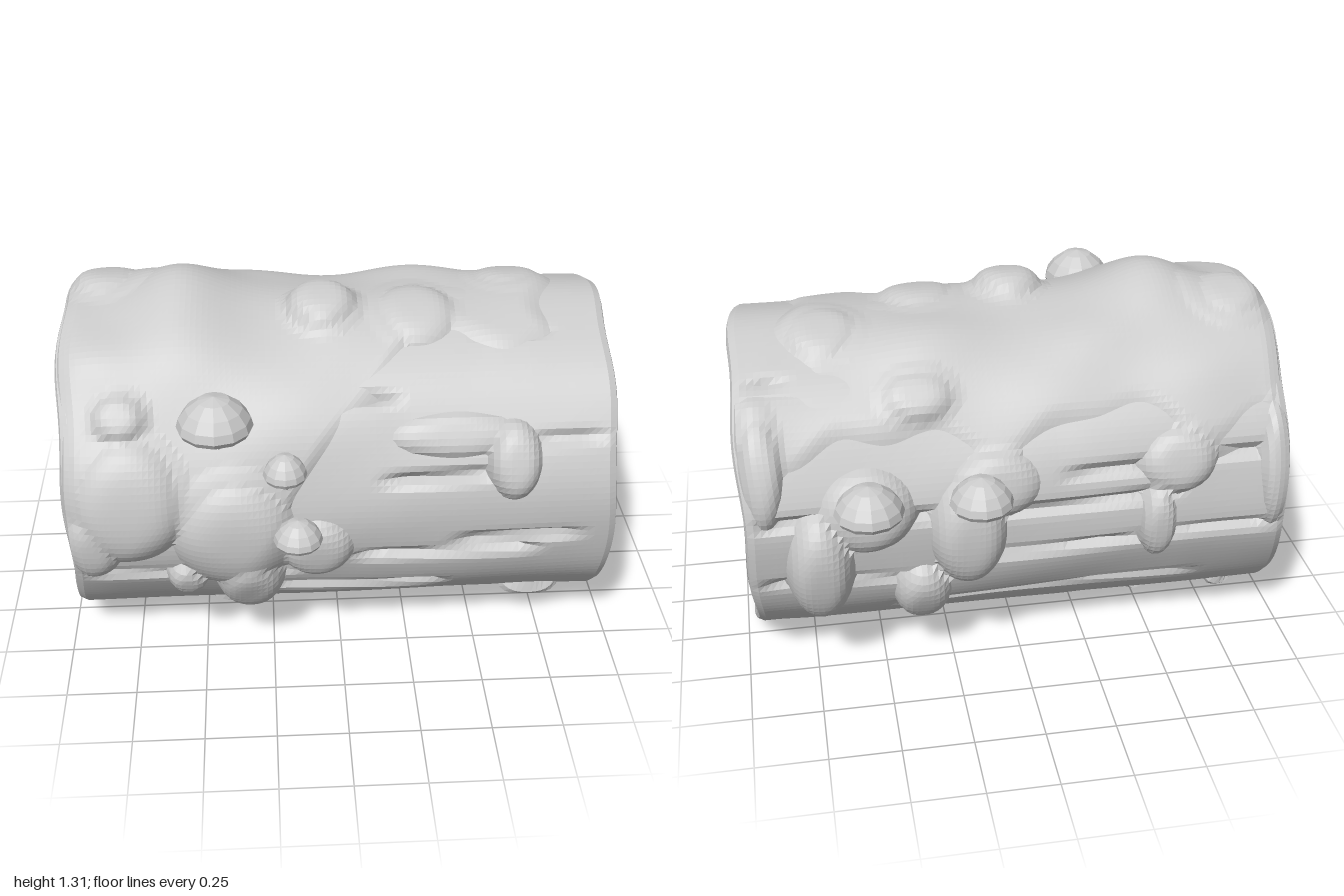
import * as THREE from 'three';

const CY = 0.61, R = 0.596; // log axis height and bark radius
const { sin, cos, abs, max, min, exp, PI } = Math;
const smooth = THREE.MathUtils.smoothstep;
const wrap = a => a - 2 * PI * Math.round(a / (2 * PI));
const grey = new THREE.MeshStandardMaterial({ color: 0xcccccc, flatShading: true });

function add(parent, name, geometry) {
  const mesh = new THREE.Mesh(geometry, grey);
  mesh.name = name;
  parent.add(mesh);
  return mesh;
}

// Surface of closed loops round the x axis; angle 0 is up, positive is toward +z.
// at(t, angle) returns [x, radius, axis y shift, axis z shift].
function loft(rows, cols, at) {
  const pos = [], idx = [];
  for (let i = 0; i <= rows; i++) for (let j = 0; j < cols; j++) {
    const a = j / cols * 2 * PI;
    const [x, r, dy = 0, dz = 0] = at(i / rows, wrap(a));
    pos.push(x, CY + dy + r * cos(a), dz + r * sin(a));
  }
  for (let i = 0; i < rows; i++) for (let j = 0; j < cols; j++) {
    const a = i * cols + j, b = i * cols + (j + 1) % cols;
    idx.push(a, b, a + cols, b, b + cols, a + cols);
  }
  const g = new THREE.BufferGeometry();
  g.setAttribute('position', new THREE.Float32BufferAttribute(pos, 3));
  g.setIndex(idx);
  g.computeVertexNormals();
  return g;
}

// Slightly uneven cut at each end
const endX = (side, a) => 0.974 + 0.009 * sin(2 * a + 2 + side) + 0.006 * sin(7 * a + 2 * side);

// Long splits in the bark: [start x, end x, angle, depth]
const splits = [
  [0.0, 0.75, 1.83, 0.035], [-0.95, -0.1, 1.96, 0.03], [-0.3, 0.42, 2.16, 0.04],
  [0.35, 0.9, 1.73, 0.03], [-0.97, 0.97, 2.66, 0.035], [-0.12, 0.24, 0.8, 0.04],
  [0.1, 0.6, 1.28, 0.04], [0.45, 0.8, 0.4, 0.03], [-0.7, 0.5, -2.2, 0.03],
  [-0.97, 0.2, -1.75, 0.04], [-0.6, 0.97, -1.45, 0.04], [-0.97, -0.1, -1.25, 0.035],
  [-0.3, 0.9, -2.6, 0.03], [-0.8, -0.2, -2.85, 0.025], [0.3, 0.97, -1.9, 0.03],
  [0.6, 0.97, 1.1, 0.03], [0.75, 0.97, -0.6, 0.03]
];
function barkR(x, a) {
  let r = R + 0.004 * sin(9 * a + 2 * sin(2.3 * x)) + 0.003 * sin(5 * x + 3 * a);
  for (const [x0, x1, s, depth] of splits) {
    const d = wrap(a - s - 0.025 * sin(4 * x + s));
    const along = smooth(x, x0, x0 + 0.14) * (1 - smooth(x, x1 - 0.14, x1));
    r -= along * depth * exp(-((d / 0.035) ** 2));            // the crack
    if (d > 0) r += along * 0.006 * exp(-d / 0.2);            // raised lip beside it
  }
  return r;
}

// Soft swellings in the moss: [x, angle, half length, half angle, height]
const swells = [
  [-0.57, 0, 0.19, 0.38, 0.1], [-0.87, -0.22, 0.13, 0.3, 0.01], [-0.04, 0.15, 0.09, 0.22, 0.02],
  [-0.85, 0.55, 0.14, 0.2, 0.03], [-0.45, 0.5, 0.2, 0.25, 0.025], [-0.3, -0.45, 0.2, 0.2, 0.025],
  [0.3, -0.4, 0.25, 0.2, 0.025], [-0.6, -0.7, 0.22, 0.2, 0.02], [-0.55, 1.3, 0.3, 0.3, 0.02]
];
// Rounded pads and drips that stand out with an edge: same columns
const pads = [
  [-0.82, -0.2, 0.18, 0.3, 0.055], [-0.05, 0.17, 0.16, 0.27, 0.065], [0.28, 0.2, 0.18, 0.35, 0.03],
  [0.65, -0.23, 0.17, 0.3, 0.03], [-0.76, 0.9, 0.12, 0.18, 0.045], [-0.74, 1.4, 0.23, 0.47, 0.06],
  [-0.88, 1.68, 0.13, 0.3, 0.045], [-0.38, 1.65, 0.25, 0.48, 0.06], [-0.33, 2.03, 0.14, 0.34, 0.075],
  [-0.55, 1.98, 0.09, 0.17, 0.05], [-0.09, 1.76, 0.15, 0.26, 0.05], [0.6, 1.2, 0.11, 0.28, 0.065],
  [0.4, 1.04, 0.28, 0.17, 0.025], [0.72, 2.48, 0.14, 0.1, 0.035], [-0.35, 2.74, 0.19, 0.1, 0.045],
  [0.72, -1.78, 0.13, 0.45, 0.09], [0.55, -1.4, 0.19, 0.3, 0.06], [0.2, -1.6, 0.15, 0.42, 0.08],
  [0.36, -2.07, 0.12, 0.3, 0.07], [0.1, -1.3, 0.19, 0.24, 0.045], [-0.48, -1.65, 0.08, 0.3, 0.05],
  [-0.55, -1.25, 0.16, 0.24, 0.04], [-0.92, -1.35, 0.08, 0.5, 0.03], [0.9, -1.1, 0.09, 0.42, 0.035],
  [-0.5, -2.7, 0.06, 0.07, 0.025], [-0.8, -2.5, 0.07, 0.09, 0.03], [0.35, -0.75, 0.16, 0.2, 0.035]
];
function mossR(x, a) {
  // Ragged moss border: deep on the -x half of the front, high on the +x half
  const edge = a > 0
    ? 0.5 + 1.3 * (1 - smooth(x, -0.35, 0.3)) + 0.1 * sin(13 * x)
    : 1.1 + 0.1 * sin(8 * x + 1) + 0.05 * sin(17 * x);
  const bareEnd = smooth(a, -0.75, -0.5) * smooth(x + 0.04 * sin(9 * a), 0.7, 0.9);
  const cover = (1 - smooth(abs(a), edge - 0.2, edge + 0.2)) * (1 - bareEnd);
  let h = -0.045 + cover * (0.057 + 0.006 * sin(11 * x + 4 * a) + 0.005 * sin(7 * a - 6 * x));
  for (const [sx, sa, lx, la, top] of swells)
    h += cover * top * exp(-(((x - sx) / lx) ** 2) - (wrap(a - sa) / la) ** 2);
  let lift = 0;
  for (const [px, pa, lx, la, top] of pads) {
    const d2 = ((x - px) / lx) ** 2 + (wrap(a - pa) / la) ** 2;
    if (d2 > 1) continue;
    const dome = 1 - d2 * d2;
    h = max(h, -0.045 + (top + 0.045) * dome);
    lift = max(lift, 0.3 * cover * top * dome);
  }
  return R + h + lift;
}

// Growth rings on a cut face: [radius fraction, depth below the rim]
const rings = [
  [0, 0.005], [0.2, 0.005], [0.33, 0.005], [0.345, 0.035], [0.36, 0.035], [0.37, 0.005],
  [0.45, 0.008], [0.47, 0.055], [0.6, 0.06], [0.62, 0.015], [0.7, 0.012], [0.72, 0.05], [0.75, 0.048],
  [0.77, 0.01], [0.86, 0.005], [0.88, 0.037], [0.905, 0.035], [0.92, 0], [0.97, -0.006], [1, 0.008]
];
function endFace(side) {
  const n = rings.length - 1;
  return loft(n, 64, (t, a) => {
    const k = Math.round((side > 0 ? 1 - t : t) * n);
    const [f, depth] = rings[k];
    const inner = 1 - f;
    const wobble = 1 + inner * (0.09 * cos(2 * a) + 0.05 * sin(3 * a + k * 0.3));
    // Grooves pinch shut here and there
    const shut = depth > 0.033 && f > 0.3 ? 0.6 + 0.4 * sin(a * 2 + f * 9 + side) : 1;
    const rim = barkR(side * 0.96, a) - 0.012;
    const rimX = endX(side, a) - 0.008;
    return [side * (rimX * f + 0.965 * inner - (f < 1 ? depth * shut : 0)), f * rim * wobble,
      0.02 * inner, -0.04 * inner];
  });
}

// Mushroom: centre of the cap's widest ring, cap radius and height, foot of the stem
function mushroom(x, y, z, r, h, footY, footZ) {
  const group = new THREE.Group();
  group.name = 'mushroom';
  const profile = [[0, -0.1], [0.3, -0.34], [0.6, -0.3], [0.9, -0.16], [1, 0.02], [0.94, 0.28],
    [0.74, 0.6], [0.42, 0.88], [0, 1]].map(([px, py]) => new THREE.Vector2(px * r, py * h));
  add(group, 'mushroomCap', new THREE.LatheGeometry(profile, 12)).position.set(x, y, z);
  const path = new THREE.QuadraticBezierCurve3(
    new THREE.Vector3(x + 0.01, footY, footZ),
    new THREE.Vector3(x, footY + 0.02, z - 0.1 * (z - footZ)),
    new THREE.Vector3(x, y, z));
  add(group, 'mushroomStem', new THREE.TubeGeometry(path, 8, r * 0.3, 9));
  return group;
}

export function createModel() {
  const model = new THREE.Group();
  model.name = 'mossyLog';

  add(model, 'bark', loft(80, 160, (t, a) => {
    const u = t * 2 - 1, x = u * (endX(Math.sign(u), a) - 0.008);
    return [x, barkR(x, a) - (abs(u) === 1 ? 0.012 : 0)];
  }));

  // Moss shell, tucked into the bark where nothing grows
  add(model, 'moss', loft(100, 160, (t, a) => {
    const u = t * 2 - 1, x = u * endX(Math.sign(u), a);
    const tuck = smooth(abs(u), 0.93, 1);
    const r = mossR(x, a);
    return [x, abs(u) === 1 ? min(r, 0.56) : r - tuck * 0.02];
  }));

  add(model, 'rightCutFace', endFace(-1));
  add(model, 'leftCutFace', endFace(1));

  // Three mushrooms on the front, two on the back
  model.add(
    mushroom(-0.43, 1.02, 0.59, 0.13, 0.115, 0.92, 0.48),
    mushroom(-0.2, 0.87, 0.67, 0.075, 0.08, 0.78, 0.55),
    mushroom(-0.16, 0.63, 0.71, 0.085, 0.08, 0.54, 0.6),
    mushroom(0.17, 0.77, -0.68, 0.11, 0.1, 0.68, -0.56),
    mushroom(0.55, 0.77, -0.68, 0.12, 0.105, 0.68, -0.56)
  );
  return model;
}
